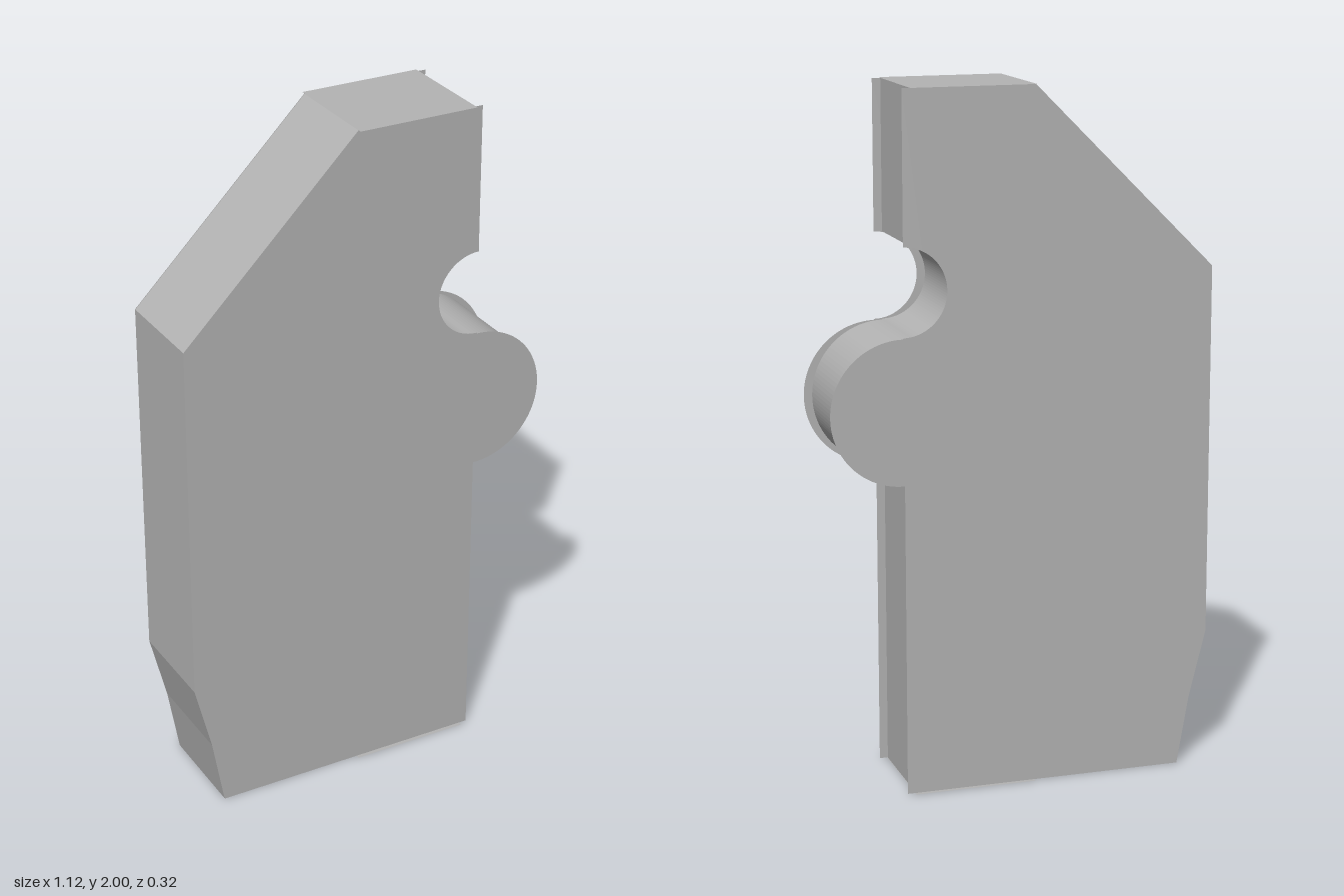
import * as THREE from 'three';

// Slab profile; inset pulls the right-hand edge inwards.
function profile(inset) {
  const edge = 0.345 - inset;
  const s = new THREE.Shape();
  s.moveTo(-0.475, 0);
  s.lineTo(edge, 0);
  s.lineTo(edge, 0.903);
  s.absarc(edge + 0.003, 1.11, 0.207, -Math.PI / 2, Math.PI / 2, false); // round tab
  s.lineTo(edge, 1.32);
  s.absarc(edge, 1.445, 0.125, -Math.PI / 2, Math.PI / 2, true); // round notch
  s.lineTo(edge, 2);
  s.lineTo(-0.035, 2);
  s.lineTo(-0.56, 1.475);
  s.lineTo(-0.56, 0.4);
  s.lineTo(-0.51, 0.2);
  s.closePath();
  return s;
}

export function createModel() {
  const group = new THREE.Group();
  const grey = new THREE.MeshStandardMaterial({ color: 0xb4b4b4, side: THREE.DoubleSide });
  grey.name = 'grey';

  function add(name, geometry) {
    const mesh = new THREE.Mesh(geometry, grey);
    mesh.name = name;
    group.add(mesh);
    return mesh;
  }

  // Core with the side walls
  const core = new THREE.ExtrudeGeometry(profile(0.024), { depth: 0.3, bevelEnabled: false, curveSegments: 28 });
  core.translate(0, 0, -0.15);
  add('core', core);

  // Face sheets overhang the right edge of the core
  const sheet = new THREE.ShapeGeometry(profile(0), 28);
  add('frontSheet', sheet).position.z = 0.152;
  add('backSheet', sheet.clone().scale(-1, 1, 1).rotateY(Math.PI)).position.z = -0.152;

  // End sheets stand slightly proud of the faces
  const end = new THREE.PlaneGeometry(0.357, 0.325);
  const top = add('topSheet', end);
  top.rotation.x = -Math.PI / 2;
  top.position.set(0.1435, 2.001, 0);
  const bottom = add('bottomSheet', end);
  bottom.rotation.x = Math.PI / 2;
  bottom.position.set(0.1435, -0.001, 0);

  return group;
}
